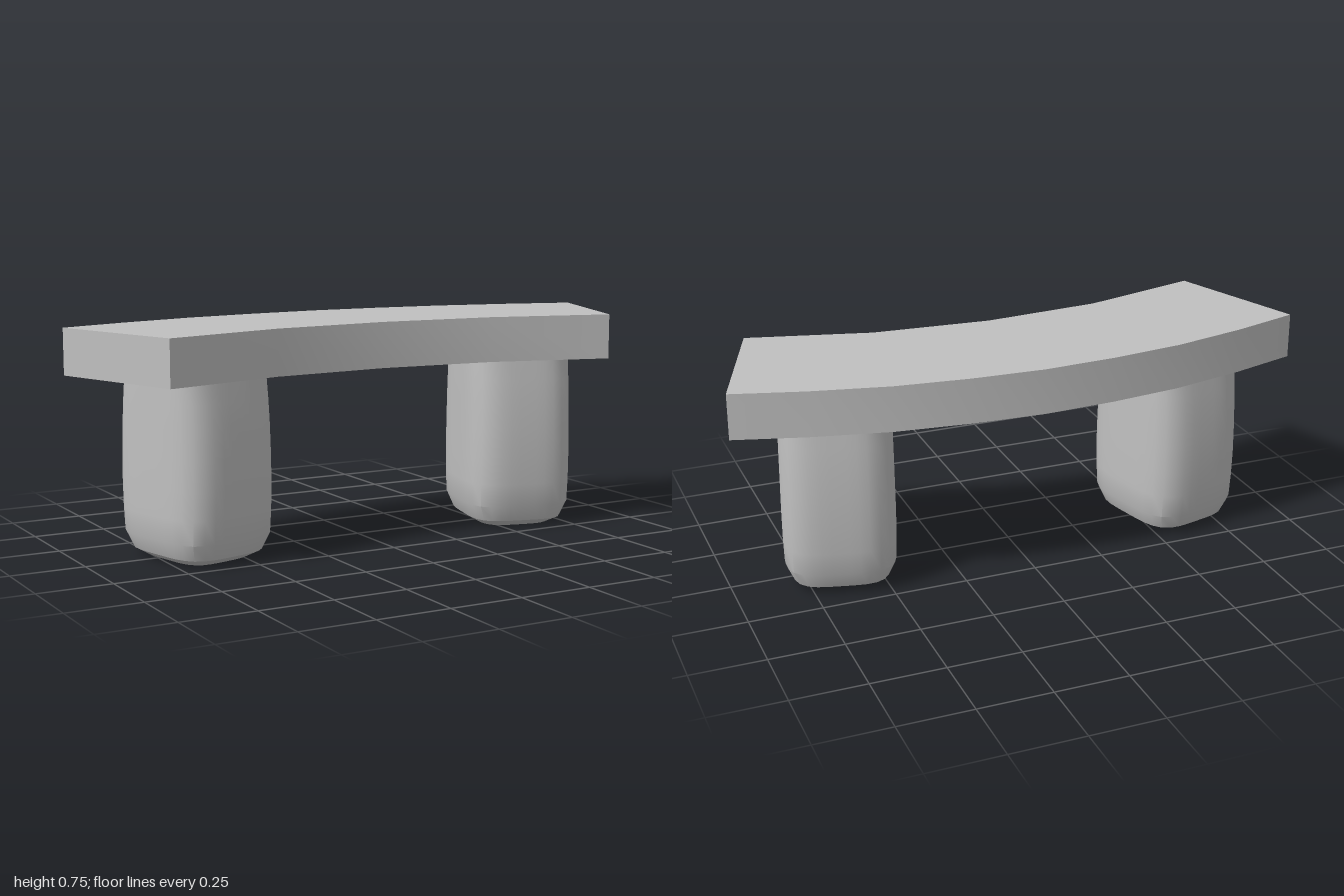
import * as THREE from 'three';
import { toCreasedNormals } from 'three/addons/utils/BufferGeometryUtils.js';

const stone = new THREE.MeshStandardMaterial({ color: 0xc0c0c0 });
stone.name = 'grey stone';

// Curved slab: half outlines of the back and front edges as [x, z], mirrored
function seatGeometry() {
  const back = [[0, -0.325], [0.25, -0.312], [0.5, -0.283], [0.76, -0.225], [1, -0.155]];
  const front = [[0.83, 0.32], [0.41, 0.21], [0, 0.178]];
  const half = [...back, ...front];
  const mirrored = half.slice(1, -1).reverse().map(([x, z]) => [-x, z]);
  const outline = [...half, ...mirrored].map(([x, z]) => new THREE.Vector2(x, -z));
  const geo = new THREE.ExtrudeGeometry(new THREE.Shape(outline), { depth: 0.155, bevelEnabled: false });
  geo.rotateX(-Math.PI / 2);
  geo.translate(0, 0.6, 0);
  return toCreasedNormals(geo, 0.5);
}

// Rounded-square post with a slight barrel swell and a chamfered foot
function legGeometry() {
  // height, width scale, depth scale
  const rows = [
    [0, 0, 0], [0, 0.65, 0.65], [0.025, 0.87, 0.86], [0.08, 0.99, 0.96],
    [0.16, 1, 0.985], [0.25, 1, 1], [0.35, 0.995, 0.995],
    [0.45, 0.99, 0.975], [0.53, 0.985, 0.945], [0.605, 0.975, 0.91],
  ];
  const geo = new THREE.LatheGeometry(rows.map(([y]) => new THREE.Vector2(1, y)), 40);
  const pos = geo.attributes.position;
  for (let i = 0; i < pos.count; i++) {
    const [y, w, d] = rows[i % rows.length];
    const x = pos.getX(i), z = pos.getZ(i);
    const r = Math.pow(x ** 4 + z ** 4, -0.25);
    pos.setXYZ(i, x * r * w * 0.191, y, z * r * d * 0.226);
  }
  return toCreasedNormals(geo, 0.57);
}

export function createModel() {
  const bench = new THREE.Group();
  bench.name = 'curvedBench';

  const seat = new THREE.Mesh(seatGeometry(), stone);
  seat.name = 'seat';
  bench.add(seat);

  // Legs turned to follow the curve of the seat
  const leg = legGeometry();
  for (const side of [-1, 1]) {
    const mesh = new THREE.Mesh(leg, stone);
    mesh.name = side > 0 ? 'leftLeg' : 'rightLeg';
    mesh.position.set(side * 0.613, 0, 0.012);
    mesh.rotation.y = -side * 0.245;
    bench.add(mesh);
  }
  return bench;
}
